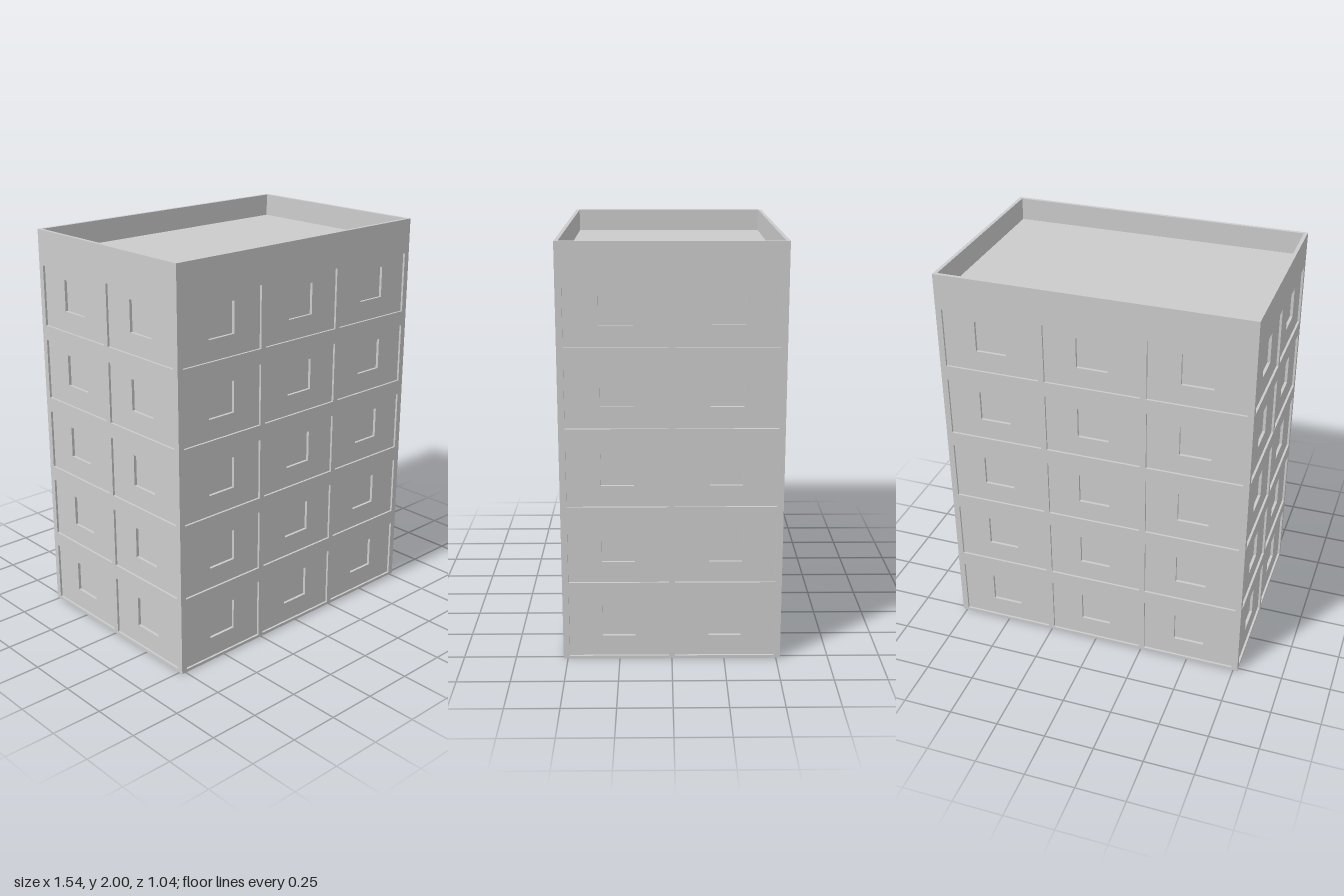
import * as THREE from 'three';

const BAY = 0.505, POST = 0.03, STOREY = 0.377, FLOORS = 5, HEIGHT = 2;
const W = 3 * BAY + POST, D = 2 * BAY + POST, ROOF = FLOORS * STOREY;
const mat = new THREE.MeshStandardMaterial({ color: 0xcccccc });

function rect(PathType, x0, y0, x1, y1) {
  const p = new PathType();
  p.moveTo(x0, y0);
  p.lineTo(x1, y0);
  p.lineTo(x1, y1);
  p.lineTo(x0, y1);
  p.closePath();
  return p;
}

function add(parent, name, geometry, x = 0, y = 0, z = 0) {
  const mesh = new THREE.Mesh(geometry, mat);
  mesh.name = name;
  mesh.position.set(x, y, z);
  parent.add(mesh);
  return mesh;
}

const box = (parent, name, w, h, d, x, y, z) =>
  add(parent, name, new THREE.BoxGeometry(w, h, d), x, y, z);

const extrude = (shape, depth) =>
  new THREE.ExtrudeGeometry(shape, { depth, bevelEnabled: false });

// One facade with its outer face on z = 0, looking towards +z
function facade(name, bays) {
  const wall = new THREE.Group();
  wall.name = name;
  const half = (bays * BAY + POST) / 2;
  const frame = rect(THREE.Shape, -half, 0, half, ROOF);
  const panel = rect(THREE.Shape, -half + 0.012, 0.003, half - 0.012, ROOF - 0.003);
  for (let f = 0; f < FLOORS; f++) {
    for (let b = 0; b < bays; b++) {
      const x = (b - (bays - 1) / 2) * BAY, y = f * STOREY;
      const r = (BAY - POST) / 2, w = 0.0775;
      frame.holes.push(rect(THREE.Path, x - r, y + 0.015, x + r, y + 0.317));
      panel.holes.push(rect(THREE.Path, x - w, y + 0.116, x + w, y + 0.271));
      box(wall, 'windowPane', 2 * w + 0.002, 2 * w + 0.002, 0.004, x, y + 0.1935, -0.027);
    }
  }
  add(wall, 'postAndBeamFrame', extrude(frame, POST), 0, 0, -POST);
  add(wall, 'wallPanels', extrude(panel, 0.018), 0, 0, -0.029);
  return wall;
}

export function createModel() {
  const building = new THREE.Group();
  building.name = 'apartmentBlock';

  // Four facades
  [['frontWall', 3, 0], ['leftWall', 2, 1], ['backWall', 3, 2], ['rightWall', 2, 3]].forEach(([name, bays, turn]) => {
    const wall = facade(name, bays);
    const a = turn * Math.PI / 2;
    const dist = (bays === 3 ? D : W) / 2;
    wall.rotation.y = a;
    wall.position.set(Math.sin(a) * dist, 0, Math.cos(a) * dist);
    building.add(wall);
  });

  // Middle wall with its posts and sill beam
  box(building, 'middleWall', W - 0.04, ROOF - 0.02, 0.012, 0, ROOF / 2, 0);
  box(building, 'middleBeam', W - 0.04, 0.015, POST, 0, 0.0075, 0);
  for (const s of [-1, 1]) {
    box(building, 'middlePost', POST, ROOF - 0.01, POST, s * BAY / 2, (ROOF - 0.01) / 2, 0);
  }

  // Floor slabs and roof
  for (let f = 1; f <= FLOORS; f++) {
    box(building, f === FLOORS ? 'roof' : 'floorSlab', W - 0.03, 0.02, D - 0.03, 0, f * STOREY - 0.009, 0);
  }

  // Parapet ring above the roof
  const t = 0.018;
  const ring = rect(THREE.Shape, -W / 2, -D / 2, W / 2, D / 2);
  ring.holes.push(rect(THREE.Path, -W / 2 + t, -D / 2 + t, W / 2 - t, D / 2 - t));
  const parapet = add(building, 'parapet', extrude(ring, HEIGHT - ROOF), 0, ROOF, 0);
  parapet.rotation.x = -Math.PI / 2;

  return building;
}
